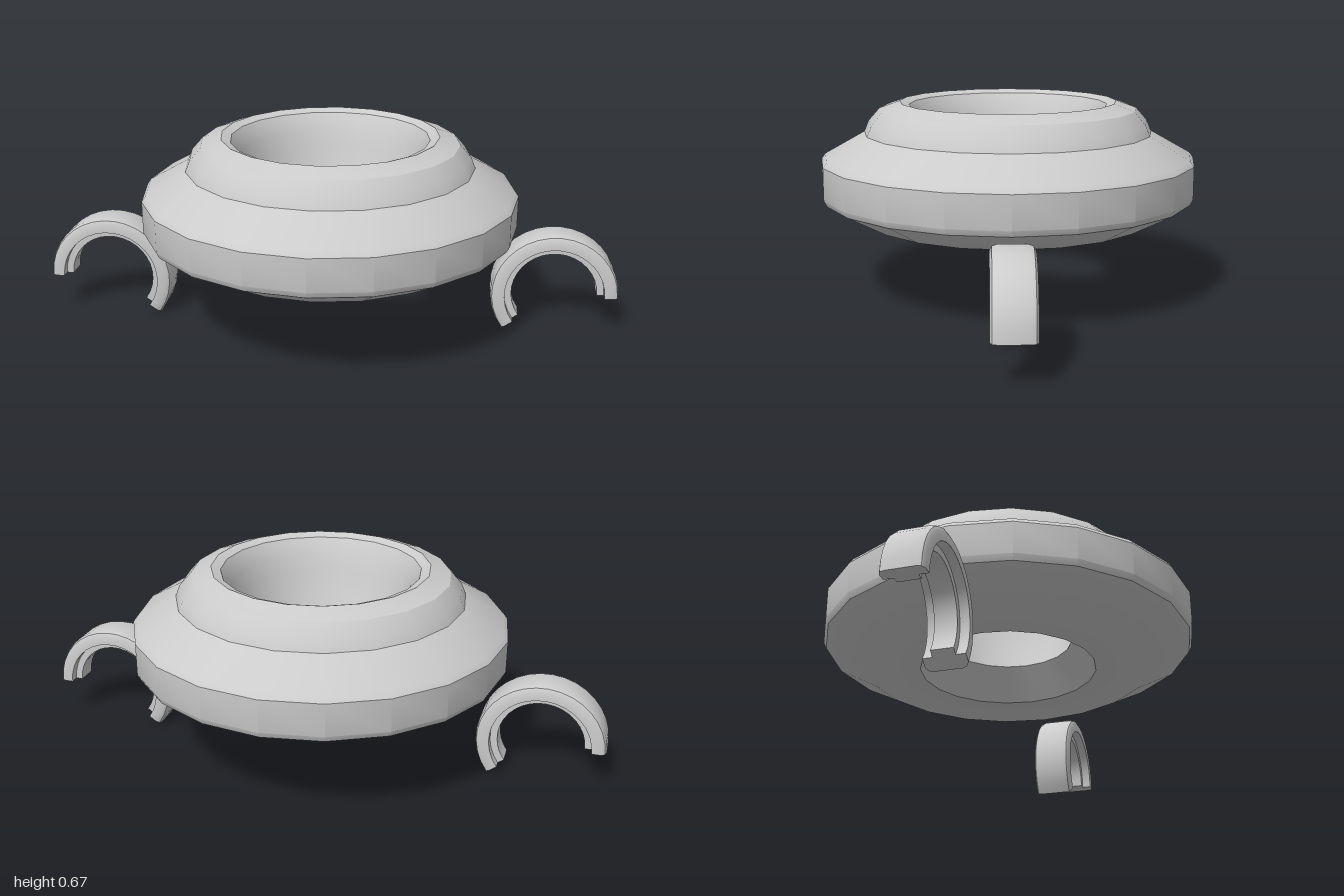
import * as THREE from 'three';
import { mergeGeometries, toCreasedNormals } from 'three/addons/utils/BufferGeometryUtils.js';

const points = (list) => list.map(([r, y]) => new THREE.Vector2(r, y));

// Ring section, counter-clockwise from the bottom of the bore
const ringProfile = points([
  [0.305, 0.26], [0.495, 0.26], [0.635, 0.335], [0.645, 0.355], [0.645, 0.465], [0.632, 0.483],
  [0.495, 0.56], [0.48, 0.597], [0.442, 0.64], [0.372, 0.665], [0.34, 0.653], [0.305, 0.595],
  [0.295, 0.54], [0.222, 0.37], [0.305, 0.26],
]);

// Clip section: rounded outer band with a raised rib along its inside
const clipProfile = points([
  [0.17, -0.067], [0.2, -0.067], [0.213, -0.06], [0.218, -0.045],
  [0.218, 0.045], [0.213, 0.06], [0.2, 0.067], [0.17, 0.067],
  [0.17, 0.036], [0.146, 0.036], [0.146, -0.036], [0.17, -0.036], [0.17, -0.067],
]);

function clipGeometry() {
  const start = Math.PI * 0.3, sweep = Math.PI * 1.2;
  const arc = new THREE.LatheGeometry(clipProfile, 20, start, sweep);
  // Flat ends of the arc
  const face = new THREE.Shape(clipProfile.slice(0, -1));
  const startCap = new THREE.ShapeGeometry(face).rotateY(start - Math.PI / 2);
  const endCap = new THREE.ShapeGeometry(face).rotateX(Math.PI).rotateY(start + sweep - Math.PI / 2);
  const merged = mergeGeometries([arc, startCap, endCap]);
  // Stand the arc upright with its axis along z
  return toCreasedNormals(merged.rotateX(Math.PI / 2), 0.7);
}

export function createModel() {
  const model = new THREE.Group();
  const material = new THREE.MeshStandardMaterial({ color: 0xcccccc });

  // Main ring with raised collar and hourglass bore
  const ring = new THREE.Mesh(
    toCreasedNormals(new THREE.LatheGeometry(ringProfile, 20), 0.5), material);
  ring.name = 'ring';
  model.add(ring);

  // Open clips on both sides, longer arm facing the ring
  const geometry = clipGeometry();
  for (const side of [-1, 1]) {
    const clip = new THREE.Mesh(geometry, material);
    clip.name = side > 0 ? 'leftClip' : 'rightClip';
    clip.position.set(side * 0.782, 0.128, 0);
    if (side > 0) clip.rotation.y = Math.PI;
    model.add(clip);
  }
  return model;
}
